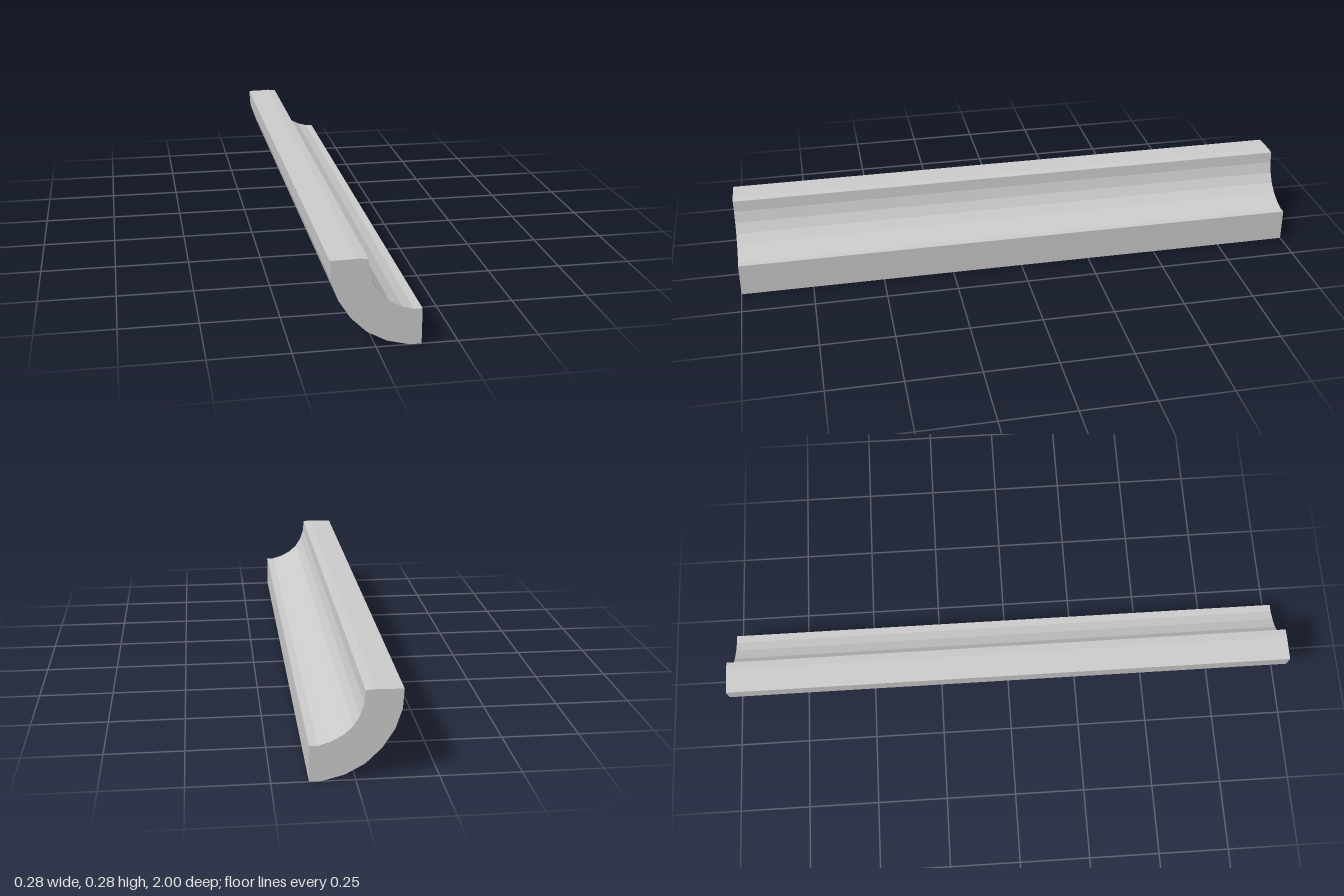
import * as THREE from 'three';

export function createModel() {
  const group = new THREE.Group();
  const length = 2;

  // Faceted outer curve, from the top edge down to the flat foot
  const outer = [
    [-0.139, 0.282], [-0.135, 0.22], [-0.114, 0.157], [-0.077, 0.099],
    [-0.028, 0.051], [0.032, 0.018], [0.102, 0], [0.138, 0],
  ];
  // Faceted inner cove, from the low lip back up to the top edge
  const inner = [
    [0.138, 0.114], [0.112, 0.114], [0.077, 0.124], [0.038, 0.144],
    [0.009, 0.171], [-0.011, 0.204], [-0.023, 0.242], [-0.026, 0.281],
  ];
  // Slightly crowned top edge
  const top = [[-0.055, 0.284], [-0.085, 0.283]];

  const profile = new THREE.Shape(
    [...outer, ...inner, ...top].map(([x, y]) => new THREE.Vector2(x, y)),
  );

  // Cove moulding: the profile swept straight along z
  const geometry = new THREE.ExtrudeGeometry(profile, { depth: length, bevelEnabled: false });
  geometry.translate(0, 0, -length / 2);
  const moulding = new THREE.Mesh(
    geometry,
    new THREE.MeshStandardMaterial({ color: 0xcccccc, flatShading: true }),
  );
  moulding.name = 'coveMoulding';
  group.add(moulding);

  return group;
}
